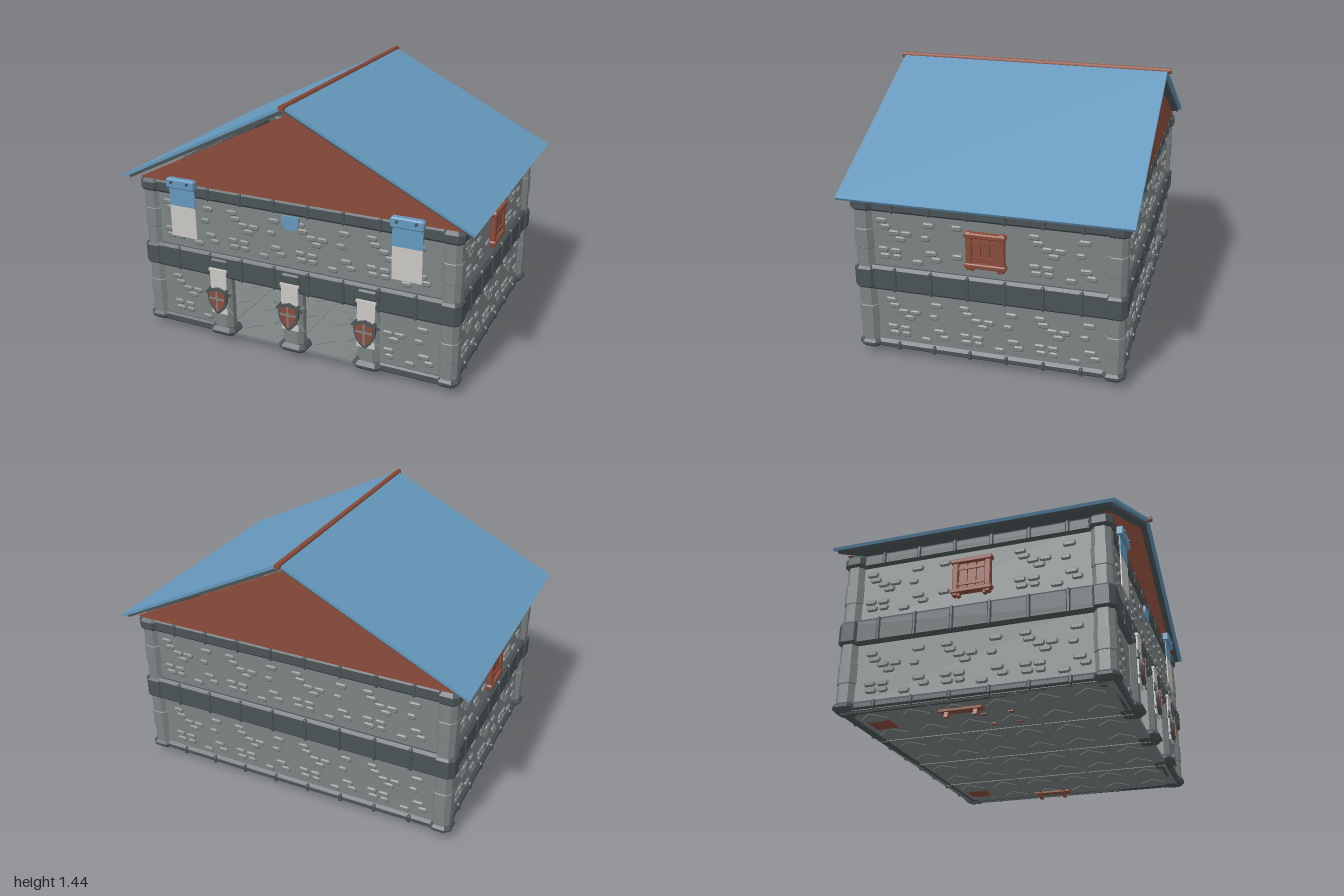
import * as THREE from 'three';
import { mergeGeometries } from 'three/addons/utils/BufferGeometryUtils.js';

const mat = (name, color) => Object.assign(new THREE.MeshStandardMaterial({ color }), { name });
const stone = mat('stone', 0x7d8384);
const darkStone = mat('dark stone', 0x4a5356);
const wood = mat('red wood', 0x8a4c3b);
const blue = mat('roof blue', 0x6598bd);
const cloth = mat('pale cloth', 0xcac8c3);

function add(parent, name, geo, material, x = 0, y = 0, z = 0) {
  const m = new THREE.Mesh(geo, material);
  m.name = name;
  m.position.set(x, y, z);
  parent.add(m);
  return m;
}
const box = (w, h, d) => new THREE.BoxGeometry(w, h, d);
const poly = pts => new THREE.Shape(pts.map(p => new THREE.Vector2(...p)));
const extrude = (shape, d) =>
  new THREE.ExtrudeGeometry(shape, { depth: d, bevelEnabled: false }).translate(0, 0, -d / 2);

// Box with chamfered edges, centred
function block(w, h, d, b) {
  const x = w / 2 - b, y = h / 2 - b, c = b * 0.8;
  const s = poly([[-x + c, -y], [x - c, -y], [x, -y + c], [x, y - c], [x - c, y], [-x + c, y], [-x, y - c], [-x, -y + c]]);
  return new THREE.ExtrudeGeometry(s, { depth: d - 2 * b, bevelSize: b, bevelThickness: b, bevelSegments: 1 })
    .translate(0, 0, b - d / 2);
}
// Upright chamfered post
const post = (w, h, d, b) => block(w, d, h, b).rotateX(Math.PI / 2);

const T = 0.04; // wall thickness
// Brick offsets inside one repeating tile: [u, y, width]
const BRICKS = [
  [0.05, 0.785, 0.06], [0.07, 0.752, 0.06], [0.12, 0.722, 0.06], [0.19, 0.722, 0.06], [0.155, 0.69, 0.06],
  [0.32, 0.782, 0.065], [0.3, 0.71, 0.05], [0.05, 0.625, 0.06], [0.06, 0.588, 0.06], [0.125, 0.622, 0.06],
  [0.13, 0.588, 0.05], [0.25, 0.57, 0.06], [0.33, 0.628, 0.065], [0.36, 0.595, 0.055]
];

// One outer wall, built facing +z at the given distance
function wallSide(name, width, dist, angle, tiles, hasDoors) {
  const g = new THREE.Group();
  g.name = name;
  g.rotation.y = angle;
  const mid = dist - T / 2;
  add(g, 'upperWall', box(width, 0.46, T), stone, 0, 0.68, mid);
  if (hasDoors) {
    const w = width / 2 - 0.4;
    for (const s of [-1, 1]) add(g, 'lowerWall', box(w, 0.42, T), stone, s * (0.4 + w / 2), 0.25, mid);
  } else add(g, 'lowerWall', box(width, 0.42, T), stone, 0, 0.25, mid);

  // Raised bricks, showing on both wall faces
  const span = width - 0.16, step = span / tiles, parts = [];
  for (let t = 0; t < tiles; t++) for (const [u, y, w] of BRICKS) for (const low of [0, 1]) {
    const x = -span / 2 + t * step + ((u + low * 0.03) / 0.43) * step;
    if (Math.abs(x) > span / 2 - 0.02) continue;
    if (hasDoors && low && Math.abs(x) < 0.53) continue;
    if (!low && Math.abs(angle) === Math.PI / 2 && Math.abs(x) < 0.15) continue;
    parts.push(block(w, 0.03, T + 0.024, 0.006).translate(x, y - low * 0.45, mid));
  }
  add(g, 'bricks', mergeGeometries(parts), stone);

  // Dark horizontal bands with straps
  for (const [y, h, out] of [[0.87, 0.08, 0.015], [0.46, 0.14, 0.025], [0.065, 0.05, 0.015]]) {
    if (hasDoors && y < 0.1) {
      for (const s of [-1, 1]) add(g, 'baseBand', block(width / 2 - 0.4, h, 0.06, 0.01), darkStone, s * (width / 4 + 0.2), y, dist + out - 0.03);
      continue;
    }
    add(g, 'band', block(width, h, 0.07, 0.015), darkStone, 0, y, dist + out - 0.035);
    const n = tiles * 2;
    for (let i = 0; i < n; i++)
      add(g, 'strap', block(0.022, h - 0.004, 0.04, 0.006), darkStone, ((i + 0.5) / n - 0.5) * (span - 0.02), y, dist + out - 0.013);
  }
  return g;
}

// Shuttered window facing +z
function makeWindow() {
  const g = new THREE.Group();
  g.name = 'window';
  add(g, 'windowRecess', box(0.17, 0.18, 0.008), darkStone, 0, 0, 0.004);
  for (const s of [-1, 1]) {
    add(g, 'windowPost', block(0.032, 0.21, 0.03, 0.005), wood, s * 0.085, -0.005, 0.015);
    add(g, 'windowFoot', block(0.022, 0.04, 0.025, 0.004), wood, s * 0.07, -0.095, 0.013);
    add(g, 'windowRail', block(0.22, 0.026, 0.036, 0.005), wood, 0, s * 0.083, 0.018);
    add(g, 'shutterBar', box(0.14, 0.016, 0.02), wood, 0, s * 0.043, 0.014);
  }
  for (const x of [-0.047, 0, 0.047]) add(g, 'shutterBoard', box(0.041, 0.14, 0.015), wood, x, 0, 0.01);
  return g;
}

// Shield with crossed swords
function makeShield() {
  const g = new THREE.Group();
  g.name = 'shield';
  const outline = k => {
    const s = new THREE.Shape();
    s.moveTo(0, 0.075 * k);
    s.lineTo(0.06 * k, 0.055 * k);
    s.quadraticCurveTo(0.07 * k, -0.04 * k, 0, -0.085 * k);
    s.quadraticCurveTo(-0.07 * k, -0.04 * k, -0.06 * k, 0.055 * k);
    return s;
  };
  for (const s of [-1, 1]) {
    const sword = new THREE.Group();
    sword.name = 'sword';
    sword.rotation.z = s * 0.9;
    add(sword, 'blade', box(0.012, 0.23, 0.006), stone, 0, 0, -0.006);
    add(sword, 'guard', box(0.045, 0.01, 0.012), darkStone, 0, 0.08, -0.006);
    g.add(sword);
  }
  add(g, 'shieldRim', extrude(outline(1), 0.016), darkStone);
  add(g, 'shieldFace', extrude(outline(0.8), 0.006), wood, 0, 0, 0.009);
  add(g, 'crossUpright', box(0.011, 0.12, 0.006), stone, 0, -0.002, 0.012);
  add(g, 'crossBar', box(0.095, 0.011, 0.006), stone, 0, 0.012, 0.012);
  return g;
}

export function createModel() {
  const model = new THREE.Group();
  model.name = 'house';

  // Walls
  const front = wallSide('frontWall', 1.78, 0.685, 0, 4, true);
  model.add(front, wallSide('backWall', 1.78, 0.685, Math.PI, 4, false));
  for (const s of [-1, 1]) {
    const side = wallSide(s > 0 ? 'leftWall' : 'rightWall', 1.36, 0.895, s * Math.PI / 2, 3, false);
    const win = makeWindow();
    win.position.set(0, 0.685, 0.895);
    side.add(win);
    model.add(side);
  }

  // Corner posts with dark collars and light joints
  for (const sx of [-1, 1]) for (const sz of [-1, 1]) {
    const g = new THREE.Group();
    g.name = 'cornerPost';
    g.position.set(sx * 0.87, 0, sz * 0.655);
    add(g, 'shaft', post(0.1, 0.84, 0.1, 0.018), stone, 0, 0.47, 0);
    for (const y of [0.24, 0.68]) add(g, 'shaftBlock', post(0.106, 0.14, 0.106, 0.018), stone, 0, y, 0);
    for (const [y, h] of [[0.87, 0.08], [0.46, 0.14], [0.067, 0.054]])
      add(g, 'collar', post(0.125, h, 0.125, 0.02), darkStone, 0, y, 0);
    model.add(g);
  }

  // Floor, seams and diamond tiles, upper storey slab
  add(model, 'floor', box(1.8, 0.016, 1.38), stone, 0, 0.05, 0);
  const tiles = [];
  for (let i = 0; i < 8; i++) for (let j = 0; j < 6; j++)
    tiles.push(box(0.105, 0.024, 0.105).rotateY(Math.PI / 4).translate((i - 3.5) * 0.22, 0.05, (j - 2.5) * 0.22));
  add(model, 'diamondTiles', mergeGeometries(tiles), stone);
  for (let i = -1; i <= 1; i++) add(model, 'floorSeam', box(0.014, 0.023, 1.36), stone, i * 0.44, 0.05, 0);
  for (const z of [-0.22, 0.22]) add(model, 'floorSeam', box(1.78, 0.023, 0.014), stone, 0, 0.05, z);
  add(model, 'upperFloor', box(1.76, 0.03, 1.34), darkStone, 0, 0.47, 0);

  // Front pillars with cloth and shields
  for (const x of [-0.44, 0, 0.44]) {
    const g = new THREE.Group();
    g.name = 'frontPillar';
    g.position.set(x, 0, 0.67);
    add(g, 'shaft', post(0.12, 0.4, 0.09, 0.02), stone, 0, 0.25, 0);
    add(g, 'pillarBase', post(0.165, 0.05, 0.13, 0.02), darkStone, 0, 0.065, 0);
    add(g, 'pillarCap', post(0.15, 0.12, 0.1, 0.02), darkStone, 0, 0.455, 0);
    add(g, 'pillarCloth', box(0.1, 0.27, 0.008), cloth, 0, 0.315, 0.055);
    add(g, 'clothBar', box(0.11, 0.014, 0.016), cloth, 0, 0.445, 0.056);
    const shield = makeShield();
    shield.position.set(0, 0.27, 0.07);
    g.add(shield);
    model.add(g);
  }

  // Hanging banners and small half-round pennant
  for (const s of [-1, 1]) {
    const g = new THREE.Group();
    g.name = 'banner';
    g.position.set(s * 0.65, 0, 0.712);
    add(g, 'bannerCloth', box(0.16, 0.18, 0.006), cloth, 0, 0.69, 0);
    add(g, 'bannerTop', box(0.16, 0.11, 0.006), blue, 0, 0.83, 0);
    add(g, 'bannerBracket', block(0.175, 0.055, 0.04, 0.006), blue, 0, 0.912, 0.002);
    for (const x of [-0.05, 0.05])
      add(g, 'rivet', new THREE.CylinderGeometry(0.008, 0.008, 0.01, 8).rotateX(Math.PI / 2), darkStone, x, 0.92, 0.025);
    model.add(g);
  }
  const half = new THREE.Shape();
  half.absarc(0, 0, 0.05, Math.PI, Math.PI * 2);
  add(model, 'pennant', extrude(half, 0.014), blue, 0, 0.802, 0.698);
  add(model, 'pennantTop', box(0.1, 0.026, 0.014), blue, 0, 0.815, 0.698);

  // Round wall ornament and shelf inside, on the back wall
  const disc = (r, d) => new THREE.CylinderGeometry(r, r, d, 32).rotateX(Math.PI / 2);
  add(model, 'ornamentRim', disc(0.175, 0.03), darkStone, 0, 0.33, -0.63);
  add(model, 'ornamentFace', disc(0.145, 0.008), blue, 0, 0.33, -0.612);
  add(model, 'ornamentBoss', disc(0.05, 0.03), stone, 0, 0.33, -0.61);
  add(model, 'shelf', box(0.76, 0.016, 0.12), blue, 0, 0.195, -0.58);
  add(model, 'shelfEdge', box(0.74, 0.02, 0.1), darkStone, 0, 0.177, -0.58);
  for (const x of [-0.3, -0.21, 0.21, 0.3]) add(model, 'shelfRod', box(0.006, 0.14, 0.006), darkStone, x, 0.27, -0.56);
  add(model, 'shelfRail', box(0.7, 0.006, 0.006), darkStone, 0, 0.335, -0.56);

  // Benches whose feet reach below the floor, crates and a stool
  for (const s of [-1, 1]) {
    const g = new THREE.Group();
    g.name = 'bench';
    g.position.set(s * 0.77, 0, -0.09);
    add(g, 'benchBody', block(0.09, 0.09, 0.19, 0.008), wood, 0, 0.1, 0);
    add(g, 'benchTop', block(0.11, 0.025, 0.22, 0.006), wood, 0, 0.155, 0);
    add(g, 'benchBoard', box(0.05, 0.012, 0.22), wood, 0, 0.034, 0);
    for (const z of [-0.075, 0.075]) {
      const foot = add(g, 'benchFoot', extrude(poly([[-0.02, 0], [0, 0], [0.03, 0.04], [-0.01, 0.04]]), 0.02), wood, 0, 0, z);
      foot.scale.x = -s;
    }
    model.add(g);
    add(model, 'crate', block(0.13, 0.15, 0.13, 0.008), wood, s * 0.68, 0.112, -0.55);
  }
  add(model, 'stoolSeat', block(0.18, 0.02, 0.18, 0.005), wood, -0.6, 0.16, 0.06);
  for (const x of [-0.07, 0.07]) for (const z of [-0.07, 0.07])
    add(model, 'stoolLeg', box(0.024, 0.12, 0.024), wood, -0.6 + x, 0.095, 0.06 + z);

  // Gables, roof slopes and ridge pole
  for (const s of [-1, 1])
    add(model, 'gable', extrude(poly([[-0.93, 0.908], [0.93, 0.908], [0, 1.37]]), 0.02), wood, 0, 0, s * 0.69);
  const slope = s => [
    ['roofCover', [[0, 1.428], [0, 1.41], [0.992, 0.914], [1, 0.927]], 1.5, blue],
    ['roofUnderside', [[0, 1.41], [0, 1.388], [0.97, 0.906], [0.982, 0.919]], 1.46, darkStone]
  ].forEach(([name, pts, d, m]) => add(model, name, extrude(poly(pts.map(([x, y]) => [s * x, y])), d), m));
  slope(1);
  slope(-1);
  add(model, 'ridgePole', new THREE.CylinderGeometry(0.016, 0.016, 1.54, 8).rotateX(Math.PI / 2), wood, 0, 1.42, 0);
  return model;
}
